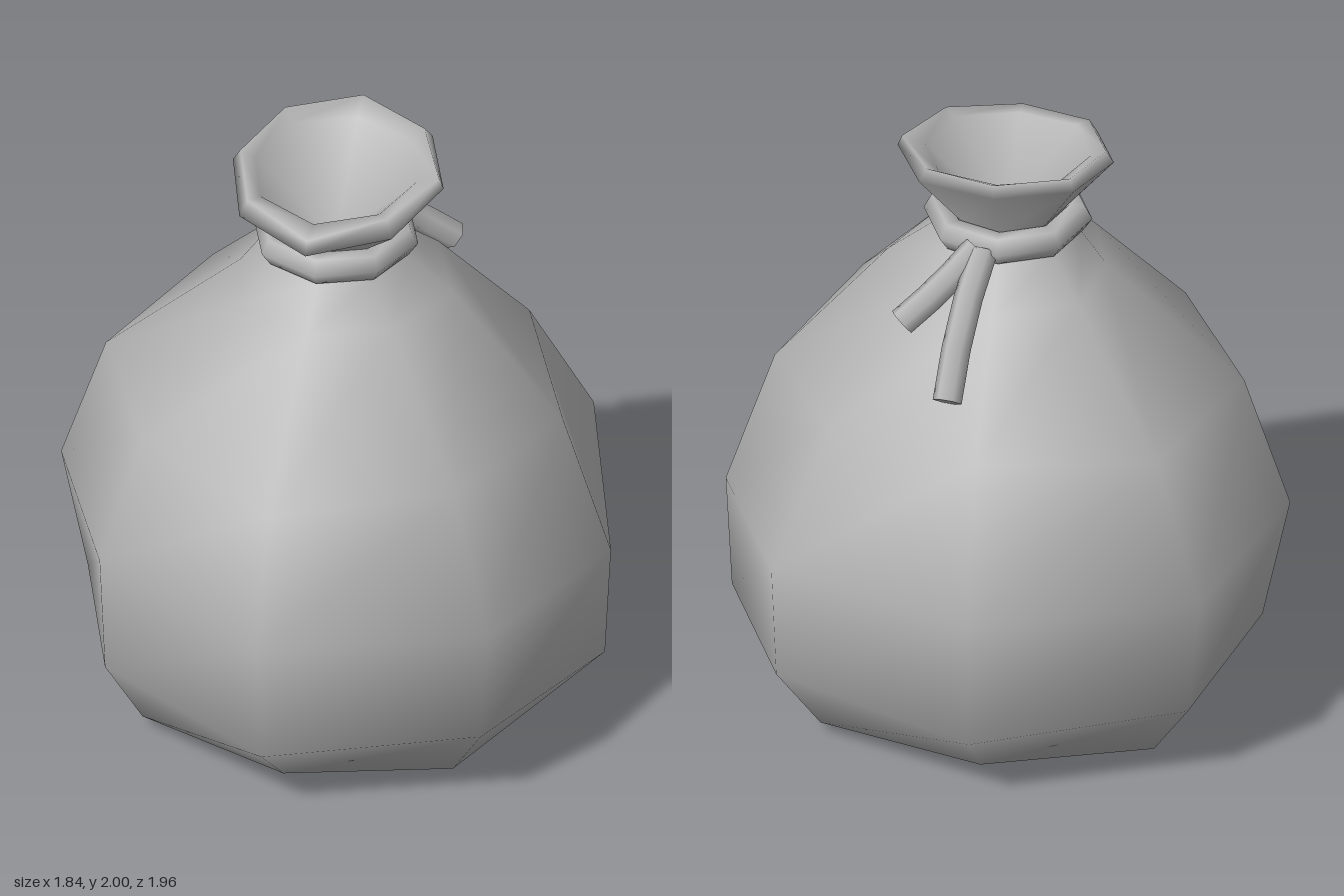
import * as THREE from 'three';

const SIDES = 8;

// Closed surface through eight-sided rings; each ring has radii and heights
// listed from +x round through +z, or one value for the whole ring.
function loft(rings, { start, end, loop = false } = {}) {
  const pos = [], idx = [];
  const at = (v, i) => (Array.isArray(v) ? v[i] : v);
  for (const [radius, height] of rings) {
    for (let i = 0; i < SIDES; i++) {
      const a = (i / SIDES) * Math.PI * 2;
      pos.push(at(radius, i) * Math.cos(a), at(height, i), at(radius, i) * Math.sin(a));
    }
  }
  const n = rings.length;
  for (let r = 0; r < (loop ? n : n - 1); r++) {
    for (let i = 0; i < SIDES; i++) {
      const j = (i + 1) % SIDES, up = ((r + 1) % n) * SIDES, lo = r * SIDES;
      idx.push(lo + i, up + i, lo + j, lo + j, up + i, up + j);
    }
  }
  const cap = (y, base, flip) => {
    const c = pos.length / 3;
    pos.push(0, y, 0);
    for (let i = 0; i < SIDES; i++) {
      const j = (i + 1) % SIDES;
      idx.push(c, base + (flip ? i : j), base + (flip ? j : i));
    }
  };
  if (start !== undefined) cap(start, 0, true);
  if (end !== undefined) cap(end, (n - 1) * SIDES, false);
  const g = new THREE.BufferGeometry();
  g.setAttribute('position', new THREE.Float32BufferAttribute(pos, 3));
  g.setIndex(idx);
  g.computeVertexNormals();
  return g;
}

// Six-sided cord with a flat cut end
function cordEnd(points, radius, material) {
  const group = new THREE.Group();
  const curve = new THREE.CatmullRomCurve3(points.map((p) => new THREE.Vector3(...p)));
  const segments = 3, sides = 6;
  const tube = new THREE.TubeGeometry(curve, segments, radius, sides);
  const p = tube.attributes.position, first = segments * (sides + 1);
  const tip = curve.getPoint(1), dir = curve.getTangent(1);
  const verts = [];
  for (let i = 0; i < sides; i++) {
    const a = new THREE.Vector3().fromBufferAttribute(p, first + i);
    const b = new THREE.Vector3().fromBufferAttribute(p, first + i + 1);
    const facing = a.clone().sub(tip).cross(b.clone().sub(tip)).dot(dir) > 0;
    for (const v of facing ? [tip, a, b] : [tip, b, a]) verts.push(v.x, v.y, v.z);
  }
  const cut = new THREE.BufferGeometry();
  cut.setAttribute('position', new THREE.Float32BufferAttribute(verts, 3));
  cut.computeVertexNormals();
  group.add(new THREE.Mesh(tube, material), new THREE.Mesh(cut, material));
  group.children[0].name = 'cordStrand';
  group.children[1].name = 'cordCut';
  return group;
}

export function createModel() {
  const model = new THREE.Group();
  model.name = 'tiedSack';
  const cloth = new THREE.MeshStandardMaterial({ color: 0xb4b4b4 });
  cloth.name = 'grey cloth';

  const add = (name, object) => {
    object.name = name;
    model.add(object);
  };

  // Bulging body, pinched neck, flared tilted mouth and its inside
  add('sack', new THREE.Mesh(loft([
    [[0.66, 0.76, 0.65, 0.72, 0.60, 0.78, 0.66, 0.76], [0, 0.04, 0, 0.04, 0.01, 0.04, 0, 0.04]],
    [[0.90, 0.94, 0.92, 0.86, 0.83, 0.96, 0.93, 0.94], [0.21, 0.27, 0.24, 0.28, 0.24, 0.27, 0.24, 0.29]],
    [[0.92, 0.98, 0.98, 0.88, 0.92, 1.02, 0.98, 0.96], [0.61, 0.68, 0.68, 0.70, 0.67, 0.70, 0.71, 0.70]],
    [[0.76, 0.77, 0.82, 0.72, 0.77, 0.80, 0.77, 0.72], [1.09, 1.12, 1.11, 1.12, 1.12, 1.13, 1.20, 1.14]],
    [[0.39, 0.37, 0.37, 0.35, 0.32, 0.38, 0.38, 0.38], 1.525],
    [0.24, 1.64],
    [0.19, 1.73],
    [[0.36, 0.36, 0.38, 0.36, 0.345, 0.35, 0.36, 0.36], [1.92, 1.87, 1.84, 1.87, 1.91, 1.94, 1.96, 1.94]],
    [[0.345, 0.33, 0.36, 0.33, 0.32, 0.33, 0.34, 0.33], [1.955, 1.93, 1.885, 1.92, 1.95, 1.98, 2.0, 1.98]],
    [[0.27, 0.28, 0.28, 0.28, 0.27, 0.28, 0.27, 0.28], [1.93, 1.92, 1.90, 1.92, 1.93, 1.95, 1.96, 1.95]],
  ], { start: 0.01, end: 1.66 }), cloth));

  // Cord wrapped round the neck
  add('neckCord', new THREE.Mesh(loft([
    [0.20, 1.655], [0.245, 1.645], [0.275, 1.69], [0.25, 1.738], [0.20, 1.738], [0.18, 1.695],
  ], { loop: true }), cloth));

  // Loose cord ends hanging at the back
  add('longCordEnd', cordEnd([[0.05, 1.68, -0.24], [0.09, 1.54, -0.45], [0.115, 1.335, -0.61]], 0.048, cloth));
  add('shortCordEnd', cordEnd([[0.07, 1.69, -0.23], [0.17, 1.59, -0.31], [0.295, 1.48, -0.375]], 0.048, cloth));

  return model;
}
